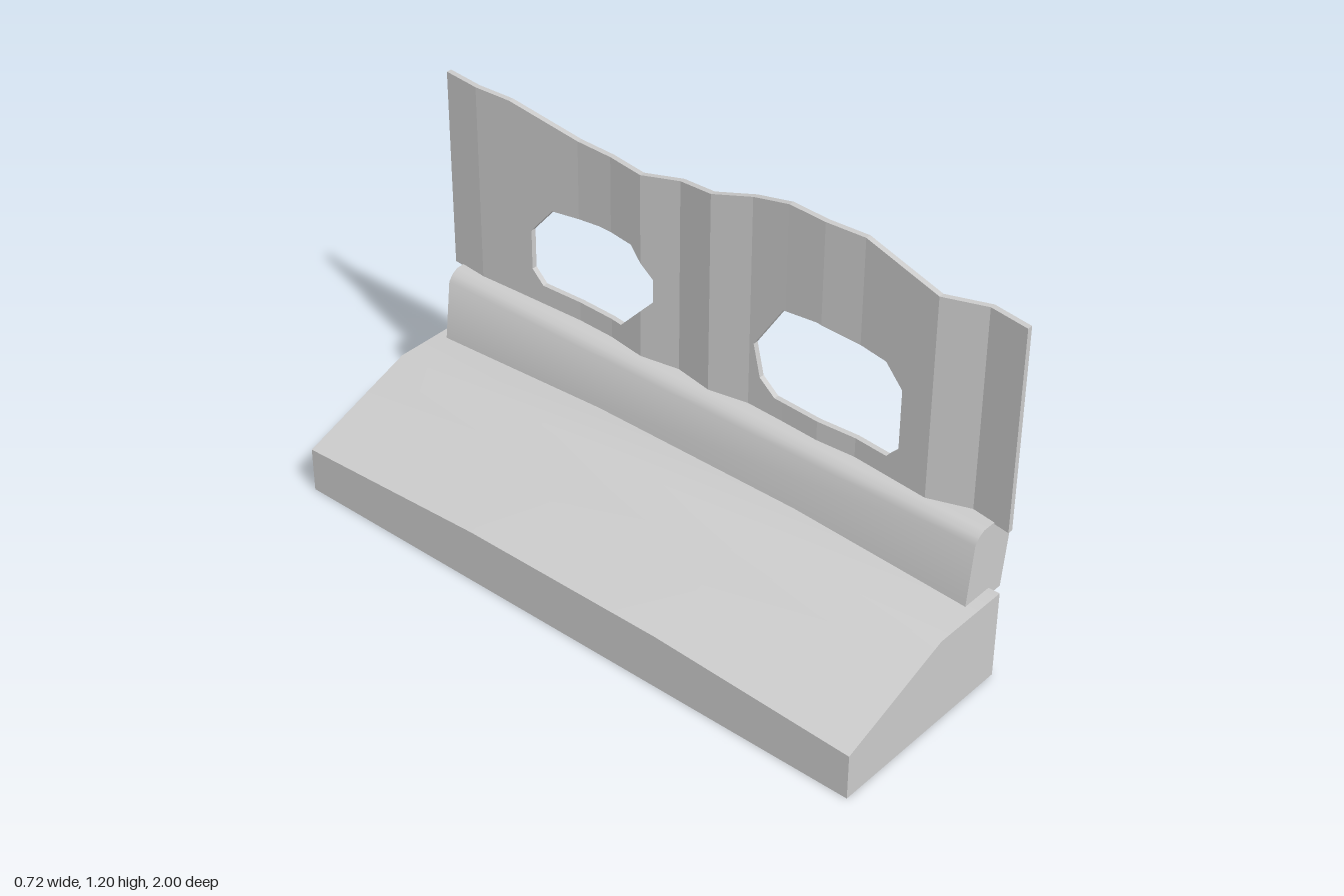
import * as THREE from 'three';
import { toCreasedNormals } from 'three/addons/utils/BufferGeometryUtils.js';

const grey = () => new THREE.MeshStandardMaterial({ color: 0xcccccc });

function mesh(geometry, name) {
  const m = new THREE.Mesh(geometry, grey());
  m.name = name;
  return m;
}

// Piecewise-linear lookup in ascending [position, value] points
function interp(points, z) {
  let i = 0;
  while (i < points.length - 2 && z > points[i + 1][0]) i++;
  const [a, va] = points[i], [b, vb] = points[i + 1];
  return va + (vb - va) * Math.min(1, Math.max(0, (z - a) / (b - a)));
}

// Collects flat quads with counter-clockwise corners
function quadBuilder() {
  const pos = [];
  return {
    quad(a, b, c, d) { pos.push(...a, ...b, ...c, ...a, ...c, ...d); },
    build() {
      const g = new THREE.BufferGeometry();
      g.setAttribute('position', new THREE.Float32BufferAttribute(pos, 3));
      g.computeVertexNormals();
      return g;
    },
  };
}

// Sloped base: smooth top lofted through four sections, flat walls
function createBase() {
  const xs = [-0.36, -0.17, -0.08, 0.02, 0.17, 0.28];
  const endY = [0.145, 0.214, 0.247, 0.283, 0.283, 0.283];
  const midY = [0.175, 0.235, 0.262, 0.315, 0.315, 0.283];
  const zs = [-1, -0.35, 0.33, 0.985];
  const rows = zs.map((z, j) => xs.map((x, i) => [x, (j === 0 || j === 3 ? endY : midY)[i], z]));
  const n = xs.length, index = [];
  for (let j = 0; j < 3; j++) for (let i = 0; i < n - 1; i++) {
    const a = j * n + i, b = a + n;
    index.push(a, b, b + 1, a, b + 1, a + 1);
  }
  const top = new THREE.BufferGeometry();
  top.setAttribute('position', new THREE.Float32BufferAttribute(rows.flat(2), 3));
  top.setIndex(index);
  top.computeVertexNormals();

  const walls = quadBuilder();
  const floor = (p) => [p[0], 0, p[2]];
  const wall = (p, q) => walls.quad(floor(p), floor(q), q, p);
  for (let i = 0; i < n - 1; i++) {
    wall(rows[3][i], rows[3][i + 1]);
    wall(rows[0][i + 1], rows[0][i]);
  }
  for (let j = 0; j < 3; j++) {
    wall(rows[j][0], rows[j + 1][0]);
    wall(rows[j + 1][n - 1], rows[j][n - 1]);
  }
  walls.quad(floor(rows[0][0]), floor(rows[0][n - 1]), floor(rows[3][n - 1]), floor(rows[3][0]));

  const base = new THREE.Group();
  base.name = 'base';
  base.add(mesh(top, 'baseTop'), mesh(walls.build(), 'baseWalls'));
  return base;
}

// Rounded rail: one profile extruded along z
function createRail() {
  const profile = [[0.17, 0.258], [0.333, 0.258], [0.357, 0.44], [0.354, 0.475], [0.333, 0.498],
    [0.3, 0.505], [0.232, 0.505], [0.212, 0.494], [0.196, 0.474]];
  const shape = new THREE.Shape(profile.map(([x, y]) => new THREE.Vector2(x, y)));
  const g = new THREE.ExtrudeGeometry(shape, { depth: 1.915, bevelEnabled: false });
  g.translate(0, 0, -0.965);
  return mesh(toCreasedNormals(g, 0.9), 'rail');
}

// Thin wavy panel with two openings, built in strips along z
function createPanel() {
  const thick = 0.017, bottom = 0.5;
  const wave = [[-1, 0.262], [-0.875, 0.25], [-0.75, 0.256], [-0.5, 0.266], [-0.375, 0.262], [-0.25, 0.244],
    [-0.125, 0.266], [0, 0.244], [0.125, 0.268], [0.25, 0.263], [0.375, 0.256], [0.5, 0.264],
    [0.75, 0.243], [0.875, 0.288], [1, 0.27]];
  const crest = [[-1, 1.14], [-0.75, 1.14], [-0.5, 1.1], [-0.25, 1.1], [0, 1.14],
    [0.25, 1.2], [0.5, 1.2], [0.75, 1.14], [1, 1.14]];
  const openings = [
    { lo: [[-0.68, 0.61], [-0.64, 0.567], [-0.335, 0.567], [-0.21, 0.7]],
      hi: [[-0.68, 0.74], [-0.6, 0.835], [-0.42, 0.858], [-0.29, 0.858], [-0.21, 0.775]] },
    { lo: [[0.14, 0.71], [0.165, 0.61], [0.22, 0.567], [0.61, 0.567], [0.65, 0.61]],
      hi: [[0.14, 0.71], [0.24, 0.865], [0.36, 0.882], [0.59, 0.862], [0.65, 0.8]] },
  ];
  const floor = [[-1, bottom], [1, bottom]];
  const b = quadBuilder();
  const inner = (z, y) => [interp(wave, z), y, z];
  const outer = (z, y) => [interp(wave, z) + thick, y, z];

  // Solid strip between two height curves
  function strip(z0, z1, low, high) {
    const [b0, b1, t0, t1] = [interp(low, z0), interp(low, z1), interp(high, z0), interp(high, z1)];
    b.quad(outer(z1, b1), outer(z0, b0), outer(z0, t0), outer(z1, t1));
    b.quad(inner(z0, b0), inner(z1, b1), inner(z1, t1), inner(z0, t0));
    b.quad(outer(z1, t1), outer(z0, t0), inner(z0, t0), inner(z1, t1));
    b.quad(inner(z1, b1), inner(z0, b0), outer(z0, b0), outer(z1, b1));
  }
  // Upright edge facing +z or -z
  function edge(z, y0, y1, facing) {
    const [p, q] = facing > 0 ? [inner, outer] : [outer, inner];
    b.quad(p(z, y0), q(z, y0), q(z, y1), p(z, y1));
  }

  const curves = [wave, crest, ...openings.flatMap((o) => [o.lo, o.hi])];
  const cuts = [...new Set(curves.flat().map((p) => p[0]))].sort((p, q) => p - q);
  for (let i = 0; i < cuts.length - 1; i++) {
    const z0 = cuts[i], z1 = cuts[i + 1], mid = (z0 + z1) / 2;
    const o = openings.find(({ lo }) => mid > lo[0][0] && mid < lo[lo.length - 1][0]);
    if (o) {
      strip(z0, z1, floor, o.lo);
      strip(z0, z1, o.hi, crest);
    } else strip(z0, z1, floor, crest);
  }
  edge(1, bottom, 1.14, 1);
  edge(-1, bottom, 1.14, -1);
  for (const { lo, hi } of openings) {
    edge(lo[0][0], lo[0][1], hi[0][1], 1);
    const l = lo[lo.length - 1], h = hi[hi.length - 1];
    edge(l[0], l[1], h[1], -1);
  }
  return mesh(b.build(), 'wavyPanel');
}

export function createModel() {
  const model = new THREE.Group();
  model.name = 'panelOnBase';
  model.add(createBase(), createRail(), createPanel());
  return model;
}
